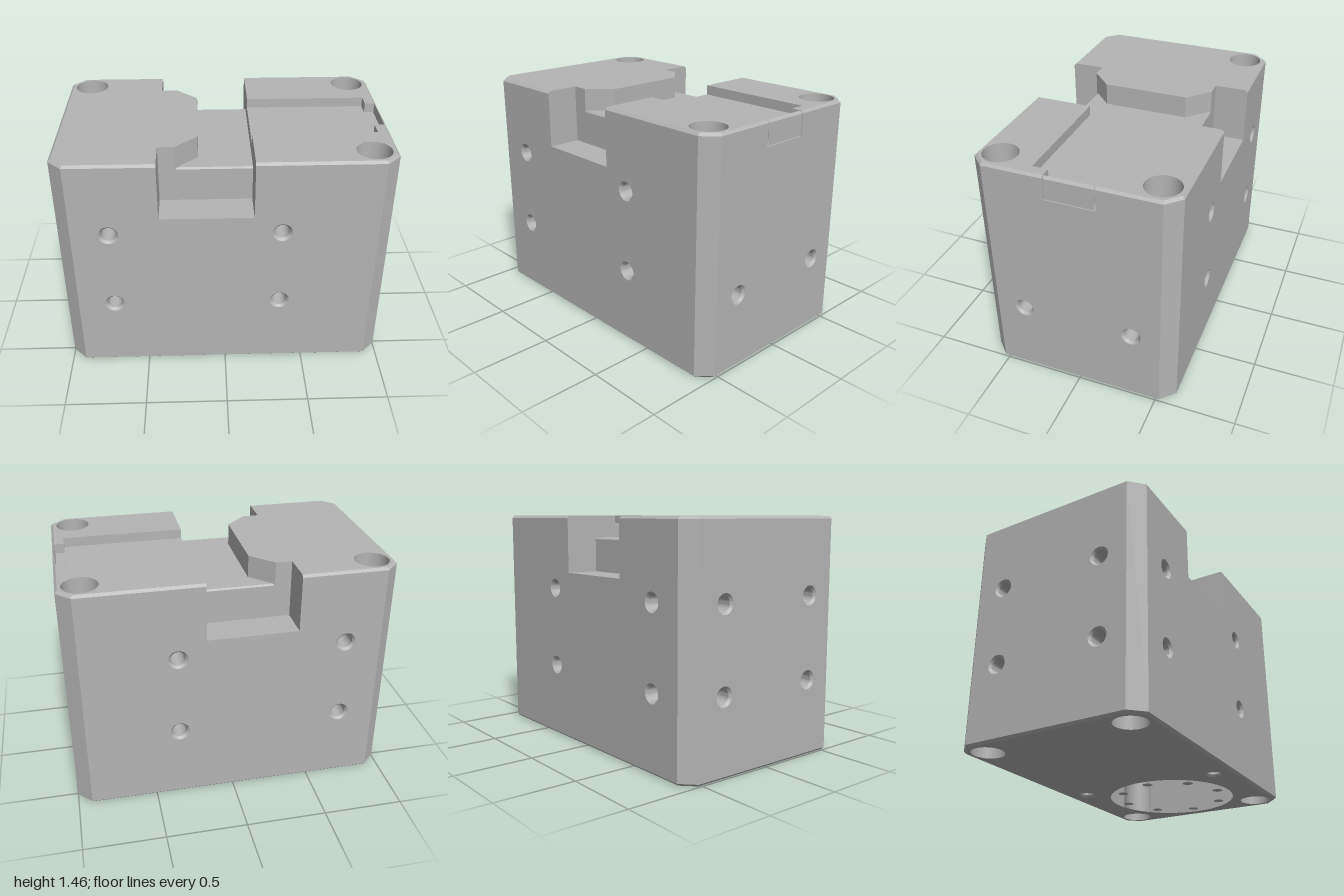
import * as THREE from 'three';
import { toCreasedNormals } from 'three/addons/utils/BufferGeometryUtils.js';

const X = 1, Z = 0.61, H = 1.46;      // half width, half depth, height
const C = 0.015;                      // small edge bevel
const CX = 0.915, CZ = 0.525;         // where the corner bevels begin
const IX = X - C, IZ = Z - C, ICX = 0.909, ICZ = 0.519; // inset outline
const Y0 = C, Y1 = H - C;
const NL = -0.39, NR = 0.17, NY = 1.1; // cross channel
const PZ = 0.245, PX = 0.925, PY = 1.4; // shallow pocket
const SZ = 0.152, SY = 1.31;          // side slot

export function createModel() {
  const model = new THREE.Group();
  const metal = new THREE.MeshStandardMaterial({ color: 0xb4b4b4, side: THREE.DoubleSide });
  metal.name = 'grey metal';

  const add = (name, geometry) => {
    const mesh = new THREE.Mesh(geometry, metal);
    mesh.name = name;
    model.add(mesh);
    return mesh;
  };

  // flat face: outline and round holes [u, v, r], placed by a plane rule
  const face = (name, pts, plane, holes = []) => {
    const shape = new THREE.Shape(pts.map(([u, v]) => new THREE.Vector2(u, v)));
    for (const [u, v, r] of holes) {
      const path = new THREE.Path();
      path.absarc(u, v, r, 0, Math.PI * 2, true);
      shape.holes.push(path);
    }
    const g = new THREE.ShapeGeometry(shape, 24);
    const p = g.attributes.position;
    for (let i = 0; i < p.count; i++) p.setXYZ(i, ...plane(p.getX(i), p.getY(i)));
    g.computeVertexNormals();
    return add(name, g);
  };
  const atX = x => (z, y) => [x, y, z];
  const atY = y => (x, z) => [x, y, z];
  const atZ = z => (x, y) => [x, y, z];
  const rect = (a, b, c, d) => [[a, c], [b, c], [b, d], [a, d]];

  // four-cornered face in any direction
  const quad = (name, a, b, c, d) => {
    const g = new THREE.BufferGeometry();
    g.setAttribute('position', new THREE.Float32BufferAttribute([a, b, c, a, c, d].flat(), 3));
    g.computeVertexNormals();
    return add(name, g);
  };

  // lining of a hole, turned from [radius, depth] and pointing inward
  const bore = (name, pos, dir, profile) => {
    const lathe = new THREE.LatheGeometry(profile.map(([r, t]) => new THREE.Vector2(r, t)), 32);
    const mesh = add(name, toCreasedNormals(lathe, 0.5));
    mesh.position.set(...pos);
    mesh.quaternion.setFromUnitVectors(new THREE.Vector3(0, 1, 0), new THREE.Vector3(...dir));
  };
  const screwBore = [[0.06, 0], [0.046, 0.015], [0.046, 0.2], [0, 0.225]];
  const topBore = [[0.105, 0], [0.105, 0.2], [0.056, 0.2], [0.044, 0.215], [0.044, 0.35], [0, 0.38]];
  const footBore = [[0.1, 0], [0.1, 0.4], [0, 0.4]];
  const pinBore = [[0.055, 0], [0.044, 0.015], [0.044, 0.2], [0, 0.225]];

  // front and back walls, notched by the channel
  const wall = [[-CX, Y0], [CX, Y0], [CX, Y1], [NR, Y1], [NR, NY], [NL, NY], [NL, Y1], [-CX, Y1]];
  const wallHoles = [];
  for (const x of [-0.69, 0.34]) for (const y of [0.475, 0.99]) wallHoles.push([x, y, 0.06]);
  for (const s of [1, -1]) {
    face(s > 0 ? 'frontWall' : 'backWall', wall, atZ(s * Z), wallHoles);
    for (const [x, y] of wallHoles) bore('wallScrewHole', [x, y, s * Z], [0, 0, -s], screwBore);
  }

  // side walls: four holes on one, two holes and a slot on the other
  const low = [[-0.345, 0.475, 0.06], [0.345, 0.475, 0.06]];
  const all = [...low, [-0.345, 0.99, 0.06], [0.345, 0.99, 0.06]];
  face('rightWall', rect(-CZ, CZ, Y0, Y1), atX(-X), all);
  face('leftWall', [[-CZ, Y0], [CZ, Y0], [CZ, Y1], [SZ, Y1], [SZ, SY], [-SZ, SY], [-SZ, Y1], [-CZ, Y1]],
    atX(X), low);
  for (const [z, y] of all) bore('sideScrewHole', [-X, y, z], [1, 0, 0], screwBore);
  for (const [z, y] of low) bore('sideScrewHole', [X, y, z], [-1, 0, 0], screwBore);

  // corner bevels and bottom edge bevels
  for (const sx of [1, -1]) {
    for (const sz of [1, -1]) {
      const a = [sx * CX, sz * Z], b = [sx * X, sz * CZ];
      const ia = [sx * ICX, sz * IZ], ib = [sx * IX, sz * ICZ];
      const at = ([x, z], y) => [x, y, z];
      quad('cornerBevel', at(a, Y0), at(b, Y0), at(b, Y1), at(a, Y1));
      quad('cornerTopBevel', at(a, Y1), at(b, Y1), at(ib, H), at(ia, H));
      quad('cornerBottomBevel', at(a, Y0), at(b, Y0), at(ib, 0), at(ia, 0));
    }
    quad('bottomSideBevel', [sx * X, Y0, -CZ], [sx * X, Y0, CZ], [sx * IX, 0, ICZ], [sx * IX, 0, -ICZ]);
    quad('bottomLongBevel', [-CX, Y0, sx * Z], [CX, Y0, sx * Z], [ICX, 0, sx * IZ], [-ICX, 0, sx * IZ]);
  }

  // top edge bevels, interrupted by the channel and the slot
  for (const s of [1, -1]) {
    quad('topLongBevel', [-CX, Y1, s * Z], [NL, Y1, s * Z], [NL, H, s * IZ], [-ICX, H, s * IZ]);
    quad('topLongBevel', [NR, Y1, s * Z], [CX, Y1, s * Z], [ICX, H, s * IZ], [NR, H, s * IZ]);
    quad('topSideBevel', [X, Y1, s * SZ], [X, Y1, s * CZ], [IX, H, s * ICZ], [IX, H, s * SZ]);
  }
  quad('topSideBevel', [-X, Y1, -CZ], [-X, Y1, CZ], [-IX, H, ICZ], [-IX, H, -ICZ]);

  // top of the large jaw with its tapered nose
  const nose = [[NL, 0.4], [-0.29, 0.4], [-0.155, 0.27], [-0.155, -0.27], [-0.29, -0.4], [NL, -0.4]];
  face('largeTop', [[NL, IZ], ...nose, [NL, -IZ], [-ICX, -IZ], [-IX, -ICZ], [-IX, ICZ], [-ICX, IZ]],
    atY(H), [[-0.86, -0.475, 0.105]]);
  bore('topCounterbore', [-0.86, H, -0.475], [0, -1, 0], topBore);
  for (let i = 1; i < 4; i++) {
    const [a, b] = [nose[i], nose[i + 1]];
    quad('noseWall', [a[0], 1.31, a[1]], [b[0], 1.31, b[1]], [b[0], H, b[1]], [a[0], H, a[1]]);
  }

  // channel: raised middle floor, low end ledges and their walls
  face('channelFloor', [[-0.28, 0.39], [-0.155, 0.27], [-0.155, -0.27], [-0.28, -0.39], [NR, -0.39], [NR, 0.39]],
    atY(1.32));
  for (const s of [1, -1]) {
    quad('channelFloorBevel', [-0.29, 1.31, s * 0.4], [NR, 1.31, s * 0.4], [NR, 1.32, s * 0.39], [-0.28, 1.32, s * 0.39]);
    face('ledge', rect(NL, NR, s * 0.4, s * Z), atY(NY));
    face('ledgeBackWall', [[NL, NY], [NR, NY], [NR, 1.31], [-0.29, 1.31], [-0.29, H], [NL, H]], atZ(s * 0.4));
    face('ledgeEndWall', [[s * 0.4, NY], [s * Z, NY], [s * Z, Y1], [s * IZ, H], [s * 0.4, H]], atX(NL));
  }
  const half = [[Z, NY], [Z, Y1], [IZ, H], [PZ, H], [PZ, PY]];
  const under = [[-0.4, NY], [-0.4, 1.31], [-0.39, 1.32], [0.39, 1.32], [0.4, 1.31], [0.4, NY]];
  face('channelWall', [...half, ...half.map(([z, y]) => [-z, y]).reverse(), ...under], atX(NR));

  // top of the small jaw around the shallow pocket
  for (const s of [1, -1]) {
    const rim = [[NR, IZ], [ICX, IZ], [IX, ICZ], [IX, SZ], [PX, SZ], [PX, PZ], [NR, PZ]];
    face('smallTop', rim.map(([x, z]) => [x, s * z]), atY(H), [[0.86, s * 0.475, 0.105]]);
    bore('topCounterbore', [0.86, H, s * 0.475], [0, -1, 0], topBore);
    face('pocketSide', rect(NR, PX, PY, H), atZ(s * PZ));
    face('pocketEnd', rect(s * SZ, s * PZ, PY, H), atX(PX));
    face('slotSide', [[PX, SY], [X, SY], [X, Y1], [IX, H], [PX, H]], atZ(s * SZ));
  }
  face('pocketFloor', rect(NR, PX, -PZ, PZ), atY(PY));

  // plug in the side slot, with a thin gap around it
  const T = SZ - 0.005;
  face('plugFace', rect(-T, T, SY + 0.006, Y1), atX(X));
  quad('plugBevel', [X, Y1, -T], [X, Y1, T], [IX, H, T], [IX, H, -T]);
  face('plugBack', rect(-T, T, PY, H), atX(IX));
  face('plugShelf', rect(PX, IX, -SZ, SZ), atY(PY));
  face('slotFloor', rect(PX, X, -SZ, SZ), atY(SY));

  // underside with a large round opening
  const foot = [[ICX, IZ], [IX, ICZ], [IX, -ICZ], [ICX, -IZ], [-ICX, -IZ], [-IX, -ICZ], [-IX, ICZ], [-ICX, IZ]];
  const footHoles = [[0.51, 0, 0.42]];
  for (const z of [-0.475, 0.475]) {
    for (const x of [-0.86, 0.86]) {
      footHoles.push([x, z, 0.1]);
      bore('footHole', [x, 0, z], [0, 1, 0], footBore);
    }
    footHoles.push([0.17, z, 0.055]);
    bore('pinHole', [0.17, 0, z], [0, 1, 0], pinBore);
  }
  face('underside', foot, atY(0), footHoles);

  // ring of small discs in the opening
  for (let i = 0; i < 8; i++) {
    const a = i * Math.PI / 4;
    const disc = add('ringDisc', new THREE.CircleGeometry(0.033, 20));
    disc.rotation.x = Math.PI / 2;
    disc.position.set(0.51 + 0.345 * Math.cos(a), 0.002, 0.345 * Math.sin(a));
  }
  return model;
}
